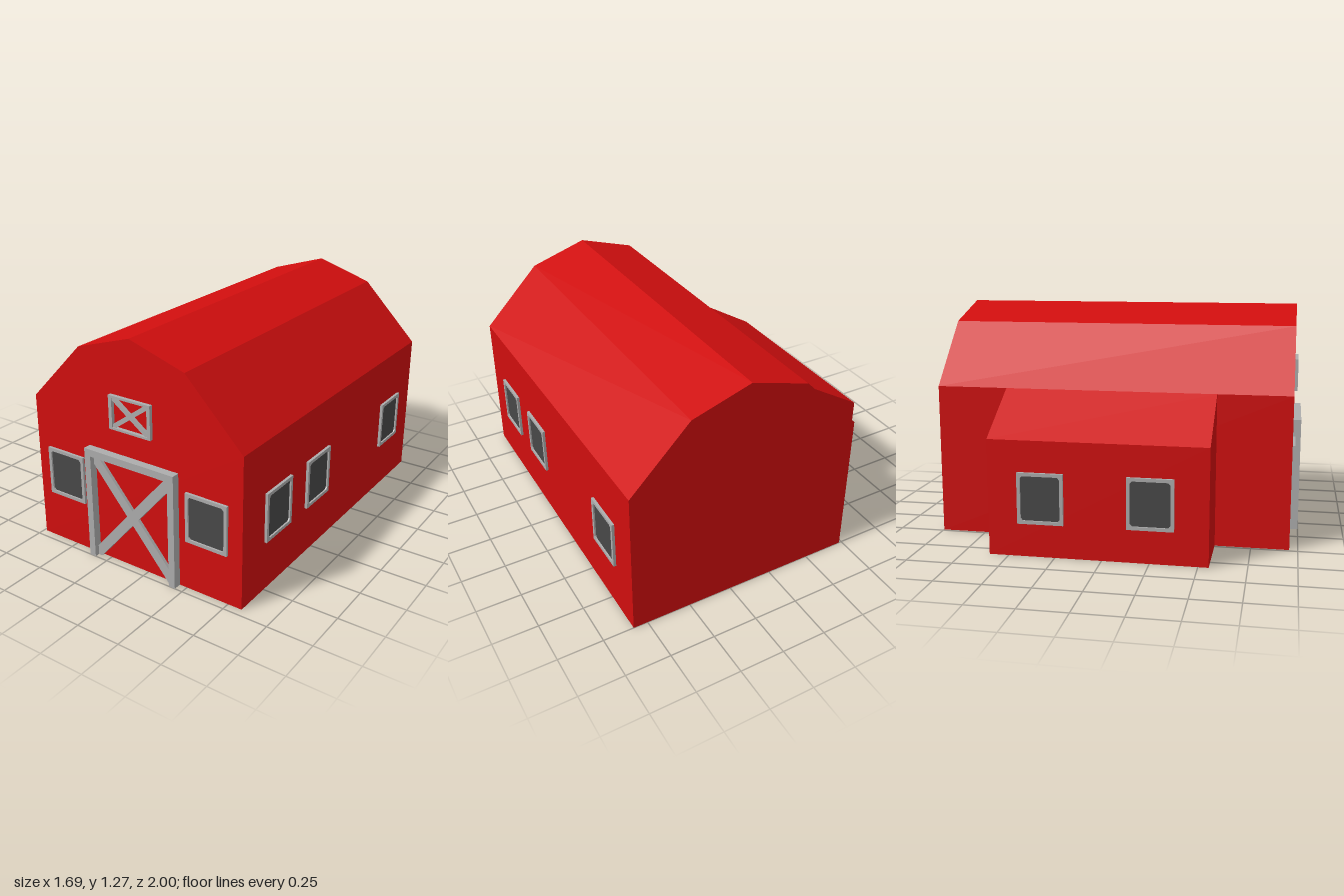
import * as THREE from 'three';

const red = new THREE.MeshStandardMaterial({ color: 0xd00e0e });
red.name = 'barn red';
const grey = new THREE.MeshStandardMaterial({ color: 0xacacac });
grey.name = 'trim grey';
const dark = new THREE.MeshStandardMaterial({ color: 0x484848 });
dark.name = 'window dark';

const FRONT = 0.955, BACK = -1, RIGHT = 0.83, LEFT = -0.83, INNER = -0.485;

const shapeOf = (pts) => new THREE.Shape(pts.map(([x, y]) => new THREE.Vector2(x, y)));

// Extrude an outline from z0 to z1
function slab(name, shape, z0, z1, material) {
  const geo = new THREE.ExtrudeGeometry(shape, { depth: z1 - z0, bevelEnabled: false });
  const mesh = new THREE.Mesh(geo, material);
  mesh.position.z = z0;
  mesh.name = name;
  return mesh;
}

const rect = (x0, y0, x1, y1) => [[x0, y0], [x1, y0], [x1, y1], [x0, y1]];

// Two crossed boards trimmed to the corners of an opening
function crossBraces(x0, y0, x1, y1, a, b, depth) {
  const group = new THREE.Group();
  group.name = 'crossBraces';
  const rising = [[x0, y0], [x0 + a, y0], [x1, y1 - b], [x1, y1], [x1 - a, y1], [x0, y0 + b]];
  const falling = rising.map(([x, y]) => [x0 + x1 - x, y]).reverse();
  group.add(slab('risingBrace', shapeOf(rising), 0, depth, grey));
  group.add(slab('fallingBrace', shapeOf(falling), 0, depth, grey));
  return group;
}

// Window centred on its own origin, facing +z
function makeWindow(name) {
  const group = new THREE.Group();
  group.name = name;
  const w = 0.123, h = 0.137, t = 0.018, c = 0.012;
  const iw = w - t, ih = h - t;
  const frame = shapeOf(rect(-w, -h, w, h));
  frame.holes.push(shapeOf([
    [-iw + c, -ih], [-iw, -ih + c], [-iw, ih - c], [-iw + c, ih],
    [iw - c, ih], [iw, ih - c], [iw, -ih + c], [iw - c, -ih],
  ]));
  group.add(slab('windowFrame', frame, 0, 0.015, grey));
  const pane = new THREE.Mesh(new THREE.BoxGeometry(iw * 2 + 0.004, ih * 2 + 0.004, 0.006), dark);
  pane.position.z = 0.003;
  pane.name = 'windowPane';
  group.add(pane);
  return group;
}

export function createModel() {
  const barn = new THREE.Group();
  barn.name = 'barn';

  // Main hall with gambrel roof
  const hall = [[INNER, 0], [RIGHT, 0], [RIGHT, 0.835], [0.50, 1.172],
    [0.172, 1.275], [-0.157, 1.172], [INNER, 0.835]];
  barn.add(slab('mainHall', shapeOf(hall), BACK, FRONT, red));

  // Lean-to on one side
  const leanTo = [[LEFT, 0], [INNER, 0], [INNER, 0.835], [LEFT, 0.622]];
  barn.add(slab('leanTo', shapeOf(leanTo), -0.605, 0.555, red));

  // Barn door: deep surround and thinner braces
  const door = new THREE.Group();
  door.name = 'barnDoor';
  door.position.z = FRONT;
  const surround = [[-0.115, 0], [-0.077, 0], [-0.077, 0.6], [0.417, 0.6],
    [0.417, 0], [0.455, 0], [0.455, 0.64], [-0.115, 0.64]];
  door.add(slab('doorFrame', shapeOf(surround), 0, 0.045, grey));
  door.add(crossBraces(-0.09, 0, 0.43, 0.605, 0.036, 0.042, 0.018));
  barn.add(door);

  // Loft hatch
  const hatch = new THREE.Group();
  hatch.name = 'loftHatch';
  hatch.position.z = FRONT;
  const hatchFrame = shapeOf(rect(0.042, 0.78, 0.303, 0.965));
  hatchFrame.holes.push(shapeOf(rect(0.062, 0.792, 0.283, 0.953).reverse()));
  hatch.add(slab('hatchFrame', hatchFrame, 0, 0.02, grey));
  hatch.add(crossBraces(0.06, 0.791, 0.285, 0.954, 0.02, 0.016, 0.014));
  barn.add(hatch);

  // Windows
  for (const x of [-0.283, 0.625]) {
    const win = makeWindow('frontWindow');
    win.position.set(x, 0.417, FRONT);
    barn.add(win);
  }
  for (const z of [0.63, 0.218, -0.697]) {
    const win = makeWindow('hallSideWindow');
    win.position.set(RIGHT, 0.417, z);
    win.rotation.y = Math.PI / 2;
    barn.add(win);
  }
  for (const z of [0.255, -0.322]) {
    const win = makeWindow('leanToWindow');
    win.position.set(LEFT, 0.317, z);
    win.rotation.y = -Math.PI / 2;
    barn.add(win);
  }
  return barn;
}
